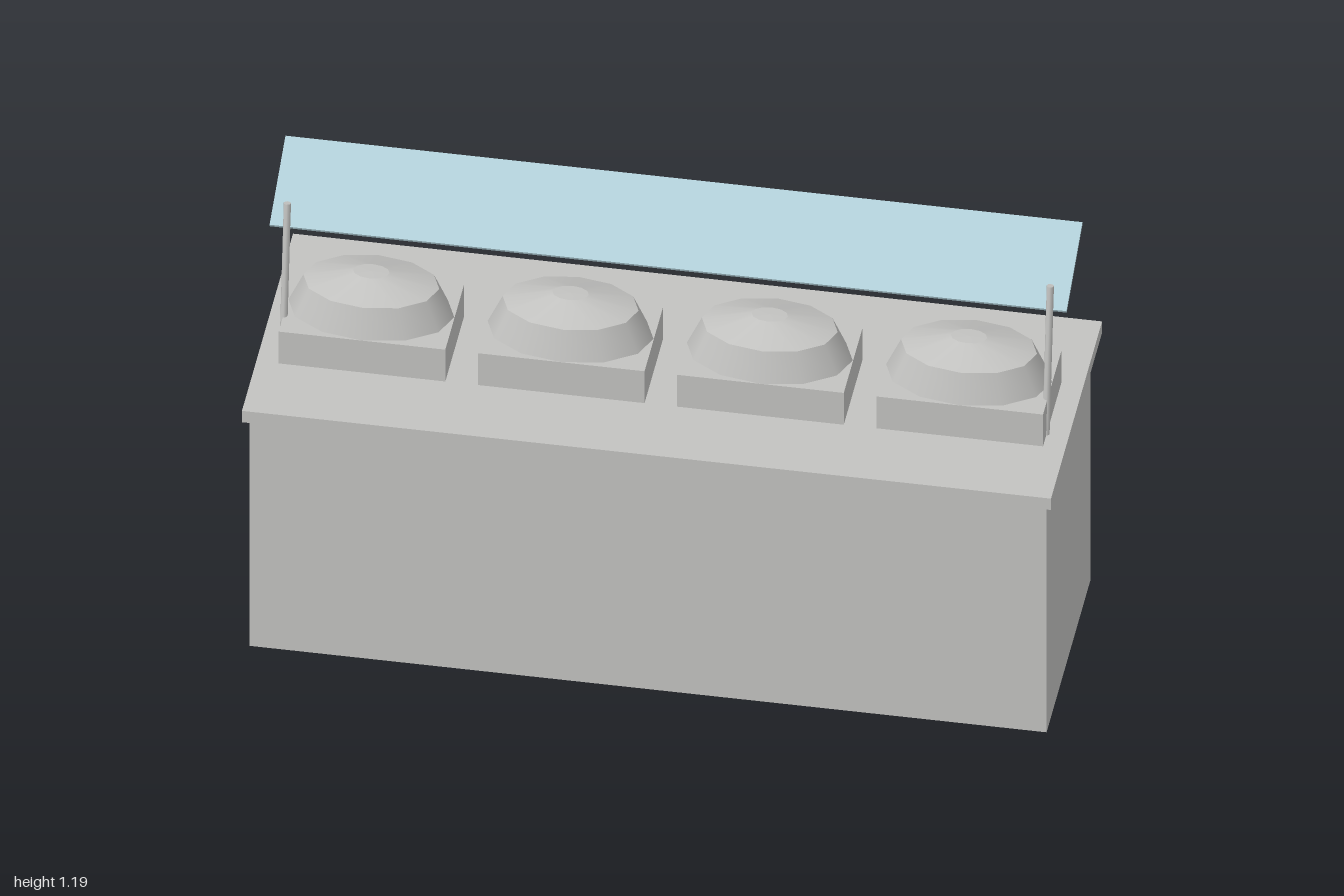
import * as THREE from 'three';

export function createModel() {
  const root = new THREE.Group();
  root.name = 'buffetCounter';

  const steel = new THREE.MeshStandardMaterial({ color: 0xc2c2c0 });
  steel.name = 'brushed steel';
  const glass = new THREE.MeshStandardMaterial({ color: 0xb0ced7 });
  glass.name = 'pale blue glass';

  const add = (parent, name, geometry, material, x = 0, y = 0, z = 0) => {
    const mesh = new THREE.Mesh(geometry, material);
    mesh.name = name;
    mesh.position.set(x, y, z);
    parent.add(mesh);
    return mesh;
  };

  // Box given by its lower and upper limits in y and z
  const slab = (parent, name, x, width, y0, y1, z0, z1) =>
    add(parent, name, new THREE.BoxGeometry(width, y1 - y0, z1 - z0), steel,
      x, (y0 + y1) / 2, (z0 + z1) / 2);

  // Cabinet and overhanging worktop
  slab(root, 'cabinet', 0, 1.97, 0, 0.705, -0.281, 0.334);
  slab(root, 'worktop', 0, 2, 0.705, 0.74, -0.357, 0.357);

  // Four bays, each with a back door, a food warmer and a domed lid
  const lidProfile = [[0.205, 0], [0.168, 0.082], [0.045, 0.114], [0, 0.115]]
    .map(([r, y]) => new THREE.Vector2(r, y));
  for (let i = 0; i < 4; i++) {
    const x = (i - 1.5) * 0.4925;
    slab(root, 'backDoor', x, 0.43, 0.165, 0.656, -0.29, -0.281);
    slab(root, 'foodWarmer', x, 0.412, 0.74, 0.838, -0.105, 0.156);

    // One lathe per band keeps the rims between bands sharp
    const lid = new THREE.Group();
    lid.name = 'domedLid';
    lid.position.set(x, 0.838, 0.0255);
    lid.scale.z = 0.635;
    for (let b = 0; b < 3; b++) {
      const band = new THREE.LatheGeometry([lidProfile[b], lidProfile[b + 1]], 12);
      add(lid, 'lidBand', band, steel);
    }
    root.add(lid);
  }

  // Leaning posts at both ends
  const foot = new THREE.Vector3(0, 0.737, 0.105);
  const tip = new THREE.Vector3(0, 1.149, 0.044);
  const lean = tip.clone().sub(foot);
  for (const side of [-1, 1]) {
    const post = add(root, side > 0 ? 'leftPost' : 'rightPost',
      new THREE.CylinderGeometry(0.009, 0.009, lean.length(), 8), steel,
      side * 0.943, (foot.y + tip.y) / 2, (foot.z + tip.z) / 2);
    post.rotation.x = Math.atan2(lean.z, lean.y);
  }

  // Sneeze guard rising towards the back
  const guard = add(root, 'sneezeGuard', new THREE.BoxGeometry(1.97, 0.008, 0.246), glass,
    0, 1.134, -0.057);
  guard.rotation.x = 0.436;

  return root;
}
